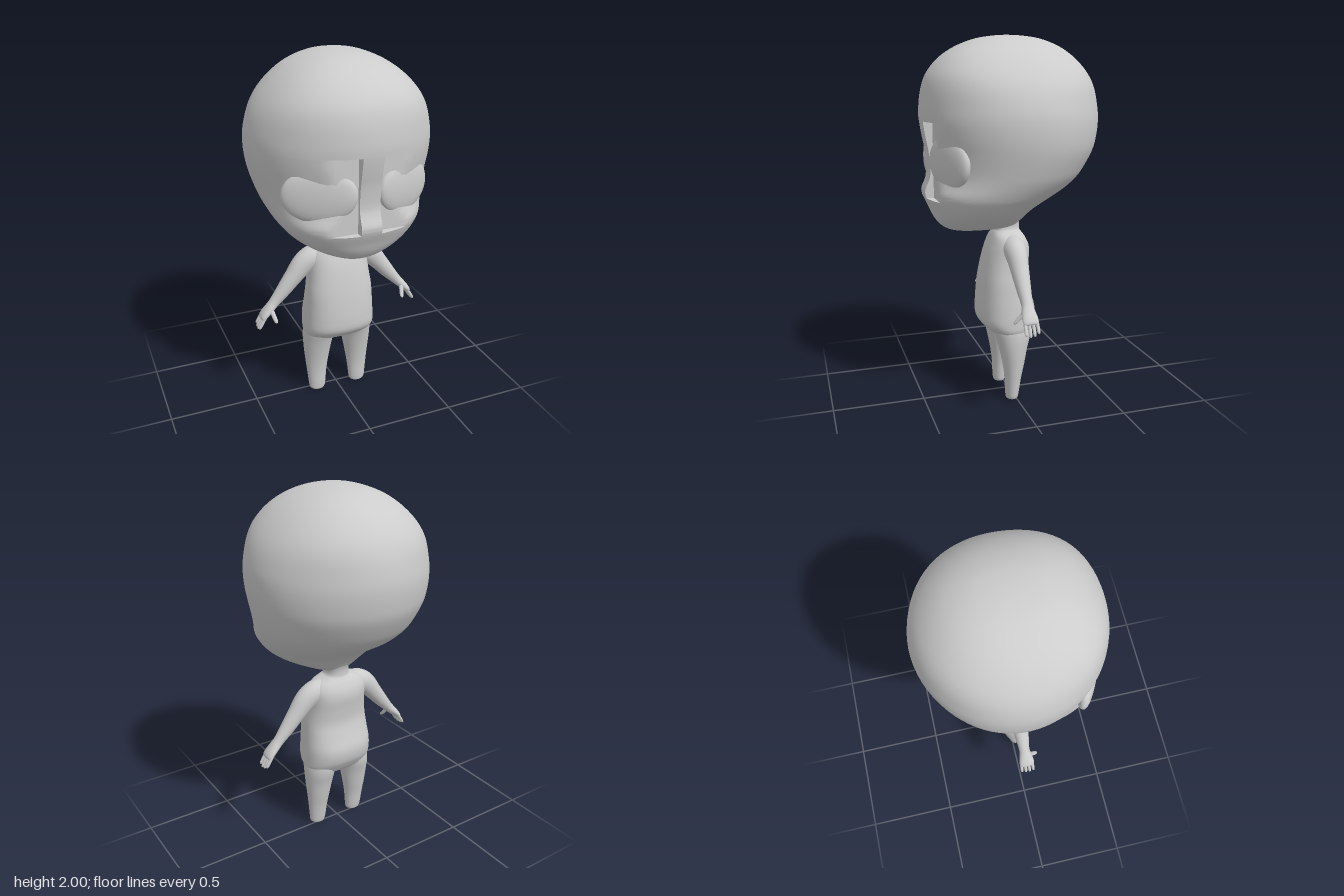
import * as THREE from 'three';
import { toCreasedNormals } from 'three/addons/utils/BufferGeometryUtils.js';

const skin = new THREE.MeshStandardMaterial({ color: 0xcccccc });
skin.name = 'plain grey';

// Smooth curve through rows of numbers, sampled by row index
function sampler(rows) {
  const n = rows[0].length;
  const curve = new THREE.CubicInterpolant(rows.map((_, i) => i), rows.flat(), n, new Float32Array(n));
  return t => Array.from(curve.evaluate(t));
}

// Joins equal-length closed rings of points into a surface
function skinRings(rings) {
  const n = rings[0].length, index = [];
  for (let i = 0; i < rings.length - 1; i++) {
    for (let j = 0; j < n; j++) {
      const a = i * n + j, b = i * n + (j + 1) % n;
      index.push(a, b, b + n, a, b + n, a + n);
    }
  }
  const g = new THREE.BufferGeometry();
  g.setAttribute('position', new THREE.Float32BufferAttribute(rings.flat(2), 3));
  g.setIndex(index);
  return g;
}

// Factor that pushes an ellipse out on its diagonals
const swell = (angle, amount) => 1 + amount * Math.sin(2 * angle) ** 2;

// Tapered limb: rows are [x, y, z, radius across, radius in z]
function limb(rows, { sides = 24, steps = 5, upright = false, square = 0 } = {}) {
  const at = sampler(rows), last = rows.length - 1, rings = [];
  for (let k = 0; k <= last * steps; k++) {
    const t = k / steps, [x, y, z, a, b] = at(t);
    const p = at(Math.max(0, t - 0.1)), q = at(Math.min(last, t + 0.1));
    const d = upright ? new THREE.Vector2(0, 1) : new THREE.Vector2(q[0] - p[0], q[1] - p[1]).normalize();
    rings.push(Array.from({ length: sides }, (_, j) => {
      const s = j / sides * Math.PI * 2, f = swell(s, square), u = f * Math.sin(s) * Math.max(a, 0);
      return [x + d.y * u, Math.max(0, y - d.x * u), z + f * Math.cos(s) * Math.max(b, 0)];
    }));
  }
  const g = skinRings(rings);
  g.computeVertexNormals();
  return g;
}

// Upright profile [y, half width, front z, back z] turned into limb rows
const profile = rows => rows.map(([y, w, f, b]) => [0, y, (f + b) / 2, w, (f - b) / 2]);

// Head with a flat recess on either side of a narrow nose bridge
function headGeometry() {
  const low = 1.16, high = 1.56, bridge = 0.055, recess = 0.428;
  const rows = profile([
    [0.965, 0.002, 0.17, 0.166], [0.968, 0.06, 0.29, 0.03], [0.982, 0.12, 0.35, -0.03],
    [1.01, 0.19, 0.392, -0.06], [1.05, 0.263, 0.42, -0.09], [1.1, 0.328, 0.442, -0.14],
    [low, 0.378, 0.47, -0.235], [1.2, 0.402, 0.476, -0.3], [1.25, 0.426, 0.456, -0.36],
    [1.3, 0.445, 0.446, -0.4], [1.4, 0.474, 0.453, -0.455], [1.48, 0.488, 0.468, -0.475],
    [high, 0.491, 0.48, -0.483], [1.63, 0.482, 0.48, -0.478], [1.72, 0.452, 0.467, -0.458],
    [1.8, 0.402, 0.438, -0.42], [1.88, 0.326, 0.374, -0.352], [1.94, 0.24, 0.285, -0.27],
    [1.98, 0.145, 0.18, -0.17], [1.996, 0.062, 0.08, -0.07], [2, 0.001, 0.006, 0.004]]);
  const at = sampler(rows), last = rows.length - 1;
  const lowRow = rows.findIndex(r => r[1] === low), highRow = rows.findIndex(r => r[1] === high);
  const times = Array.from({ length: last * 4 + 1 }, (_, i) => i / 4);
  times.push(lowRow - 0.01, highRow + 0.01);
  times.sort((p, q) => p - q);
  const rings = times.map(t => {
    const [, y, cz, w, d] = at(t);
    // The dome and the jaw are fuller on the diagonals
    const dome = 0.04 * THREE.MathUtils.smoothstep(y, 1.6, 1.85);
    const jaw = 0.045 * (1 - THREE.MathUtils.smoothstep(y, 1.08, 1.35));
    // Two columns follow the edge of the bridge so that the step stays sharp
    const edge = Math.asin(Math.min(0.6, bridge / w));
    const half = [];
    for (let j = 0; j <= 4; j++) half.push(edge * j / 4);
    for (let j = 0; j <= 36; j++) half.push(edge + 0.002 + (Math.PI - edge - 0.002) * j / 36);
    const angles = [...half, ...half.slice(1, -1).reverse().map(a => -a)];
    return angles.map(a => {
      const c = Math.cos(a), cut = t >= lowRow && t <= highRow && Math.abs(a) > edge + 0.001;
      const f = swell(a, dome + (c > 0 ? jaw + 0.012 : -0.012));
      const z = cz + d * c * f;
      return [w * Math.sin(a) * f, y, cut ? Math.min(z, recess) : z];
    });
  });
  return toCreasedNormals(skinRings(rings), 0.6);
}

// Flattened ball with a full rim
function lensGeometry() {
  const g = new THREE.SphereGeometry(1, 48, 32), p = g.attributes.position;
  for (let i = 0; i < p.count; i++) {
    const z = p.getZ(i);
    p.setZ(i, Math.sign(z) * Math.abs(z) ** 0.8);
  }
  g.computeVertexNormals();
  return g;
}

export function createModel() {
  const model = new THREE.Group();
  model.name = 'bigHeadedFigure';
  const add = (name, geometry, parent = model) => {
    const mesh = new THREE.Mesh(geometry, skin);
    mesh.name = name;
    parent.add(mesh);
    return mesh;
  };

  add('head', headGeometry());

  // Shallow eye lenses that follow the curve of the face
  const lensShape = lensGeometry();
  const lens = (name, x, z, r, yaw) => {
    const eye = add(name, lensShape);
    eye.position.set(x, 1.362, z);
    eye.scale.set(r, 0.14, 0.045);
    eye.rotation.y = yaw;
  };
  lens('leftEye', 0.207, 0.375, 0.166, 0.37);
  lens('rightEye', -0.235, 0.362, 0.19, -0.4);

  // Torso with round belly, hollow back and neck
  add('torso', limb(profile([
    [0.345, 0.002, 0.012, 0.008], [0.35, 0.09, 0.06, -0.05], [0.37, 0.175, 0.1, -0.08],
    [0.405, 0.203, 0.145, -0.105], [0.45, 0.207, 0.18, -0.128], [0.52, 0.204, 0.184, -0.135],
    [0.6, 0.197, 0.178, -0.112], [0.68, 0.19, 0.168, -0.092], [0.76, 0.179, 0.153, -0.096],
    [0.83, 0.173, 0.135, -0.104], [0.88, 0.168, 0.117, -0.098], [0.92, 0.145, 0.1, -0.08],
    [0.943, 0.095, 0.088, -0.065], [0.96, 0.068, 0.078, -0.058], [1, 0.065, 0.08, -0.06],
    [1.05, 0.08, 0.09, -0.08]]), { sides: 48, steps: 4, upright: true, square: 0.065 }));

  // Leg tapering to a flat foot
  const leg = limb([
    [0.127, 0, 0.02, 0.001, 0.001], [0.127, 0, 0.02, 0.035, 0.028], [0.128, 0.012, 0.02, 0.047, 0.034],
    [0.128, 0.05, 0.018, 0.052, 0.039], [0.128, 0.12, 0.014, 0.059, 0.046], [0.126, 0.2, 0.01, 0.069, 0.06],
    [0.122, 0.29, 0.01, 0.081, 0.078], [0.117, 0.36, 0.01, 0.088, 0.096], [0.11, 0.41, 0.015, 0.091, 0.105],
    [0.1, 0.47, 0.015, 0.085, 0.1]], { sides: 32, upright: true });

  // Arm flowing into a flat palm
  const arm = limb([
    [0.07, 0.875, 0.008, 0.062, 0.06], [0.14, 0.868, 0.01, 0.068, 0.064], [0.2, 0.835, 0.012, 0.064, 0.057],
    [0.26, 0.768, 0.014, 0.051, 0.048], [0.32, 0.695, 0.015, 0.041, 0.039], [0.375, 0.632, 0.016, 0.03, 0.031],
    [0.405, 0.6, 0.018, 0.026, 0.037], [0.435, 0.57, 0.018, 0.021, 0.043], [0.453, 0.55, 0.018, 0.014, 0.039],
    [0.458, 0.544, 0.018, 0.001, 0.02]]);

  // Fingers in a row, spread slightly, and a thumb pointing forward
  const finger = (from, to, r) => limb([0, 0.35, 0.8, 0.95, 1].map((t, i) => {
    const w = r * [1.1, 1, 0.9, 0.6, 0.02][i];
    return [...from.map((v, k) => v + (to[k] - v) * t), w, w];
  }), { sides: 10, steps: 3 });
  const digits = [0, 1, 2, 3].map(i => {
    const z = 0.048 - i * 0.021, drop = [0.008, 0, 0.003, 0.014][i];
    return finger([0.436, 0.568, z], [0.482 - drop / 3, 0.487 + drop, z + 0.004 - i * 0.002], 0.01);
  });
  const thumb = finger([0.405, 0.605, 0.035], [0.387, 0.535, 0.088], 0.013);

  for (const [side, sign] of [['left', 1], ['right', -1]]) {
    const limbs = new THREE.Group();
    limbs.name = side + 'Limbs';
    limbs.scale.x = sign;
    model.add(limbs);
    add(side + 'Leg', leg, limbs);
    add(side + 'Arm', arm, limbs);
    digits.forEach((g, i) => add(side + 'Finger' + (i + 1), g, limbs));
    add(side + 'Thumb', thumb, limbs);
  }
  return model;
}
